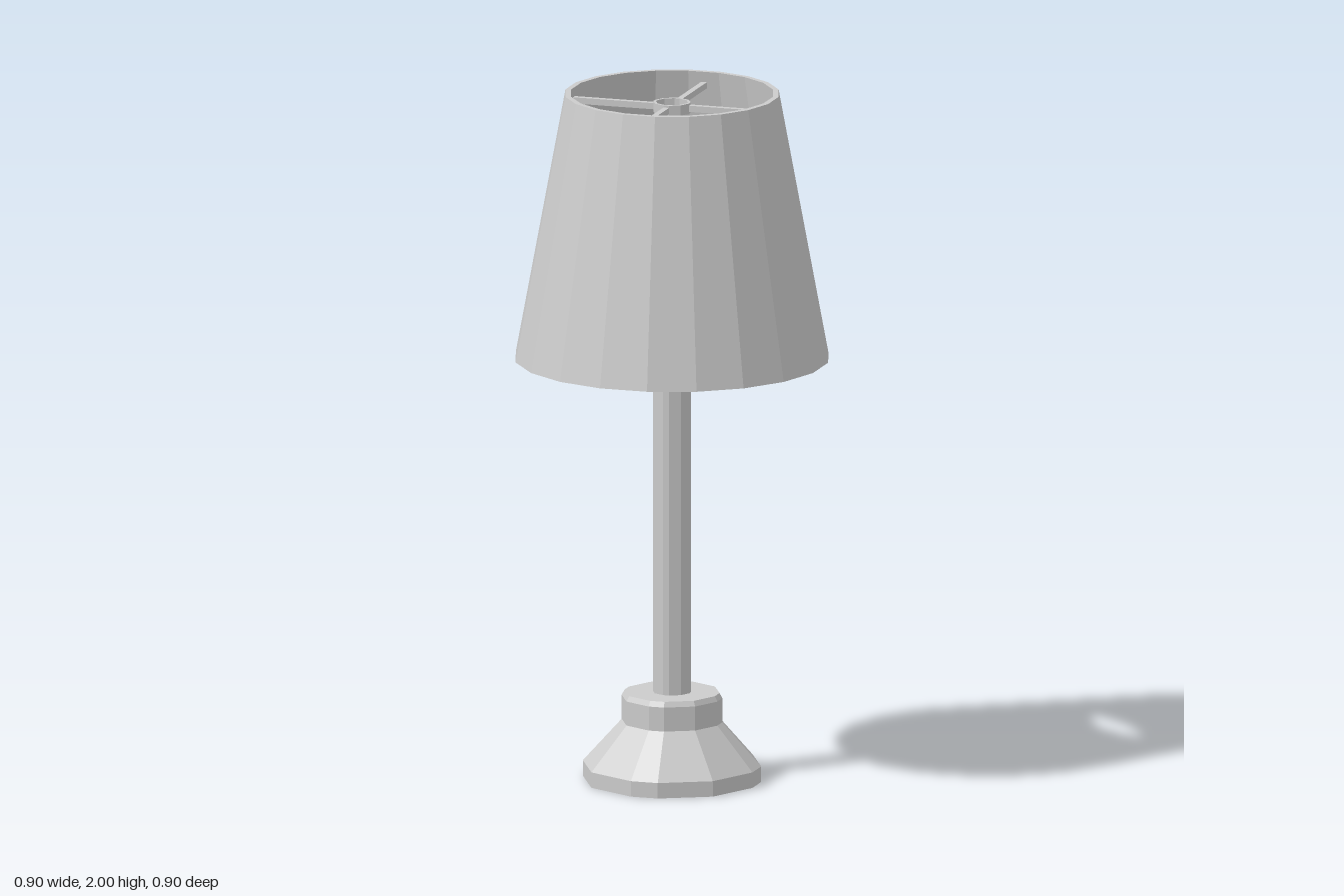
import * as THREE from 'three';

const material = new THREE.MeshStandardMaterial({ color: 0xcccccc, flatShading: true });

// Uneven twelve-sided outline shared by the turned parts (degrees from the front)
const TURNED = [];
for (let quarter = 0; quarter < 4; quarter++) {
  for (const a of [0, 18, 54]) TURNED.push(quarter * 90 + a);
}
TURNED.push(360);

// Evenly spaced outline
const even = (n) => Array.from({ length: n + 1 }, (_, i) => (i * 360) / n);

// Faceted solid of revolution: profile of [radius, y] swept through the given angles
function turned(name, profile, angles) {
  const points = profile.map(([r, y]) => new THREE.Vector2(r, y));
  const geometry = new THREE.LatheGeometry(points, angles.length - 1);
  const pos = geometry.attributes.position;
  for (let i = 0; i < pos.count; i++) {
    const a = THREE.MathUtils.degToRad(angles[Math.floor(i / points.length)]);
    const r = points[i % points.length].x;
    pos.setX(i, r * Math.sin(a));
    pos.setZ(i, r * Math.cos(a));
  }
  geometry.computeVertexNormals();
  const mesh = new THREE.Mesh(geometry, material);
  mesh.name = name;
  return mesh;
}

// Four thin bars reaching from the centre out to the shade
function spokes(name, inner, outer, y) {
  const group = new THREE.Group();
  group.name = name;
  const geometry = new THREE.BoxGeometry(outer - inner, 0.018, 0.017);
  geometry.translate((inner + outer) / 2, y, 0);
  for (let i = 0; i < 4; i++) {
    const bar = new THREE.Mesh(geometry, material);
    bar.name = 'spoke';
    bar.rotation.y = THREE.MathUtils.degToRad(9 + i * 90);
    group.add(bar);
  }
  return group;
}

export function createModel() {
  const lamp = new THREE.Group();
  lamp.name = 'tableLamp';

  // Foot with sloping shoulder and chamfered collar
  lamp.add(turned('base', [
    [0, 0], [0.257, 0], [0.257, 0.045], [0.145, 0.17],
    [0.145, 0.24], [0.137, 0.255], [0, 0.255],
  ], TURNED));

  // Post
  lamp.add(turned('post', [[0.055, 0.25], [0.055, 1.3], [0, 1.3]], TURNED));

  // Bulb with narrow neck
  lamp.add(turned('bulb', [
    [0.032, 1.29], [0.034, 1.33], [0.058, 1.37], [0.067, 1.42],
    [0.063, 1.47], [0.042, 1.51], [0, 1.53],
  ], TURNED));

  // Thin-walled tapered shade, open at both ends
  lamp.add(turned('shade', [
    [0.45, 1.23], [0.307, 2], [0.291, 2], [0.434, 1.23], [0.45, 1.23],
  ], even(20)));

  // Upper spider: ring and spokes just below the top rim
  lamp.add(turned('topRing', [
    [0.054, 1.945], [0.054, 1.975], [0.046, 1.975], [0.046, 1.945], [0.054, 1.945],
  ], TURNED));
  lamp.add(spokes('topSpokes', 0.048, 0.296, 1.96));

  // Lower spider: spokes from the post to the bottom rim
  lamp.add(spokes('bottomSpokes', 0.04, 0.43, 1.265));

  return lamp;
}
